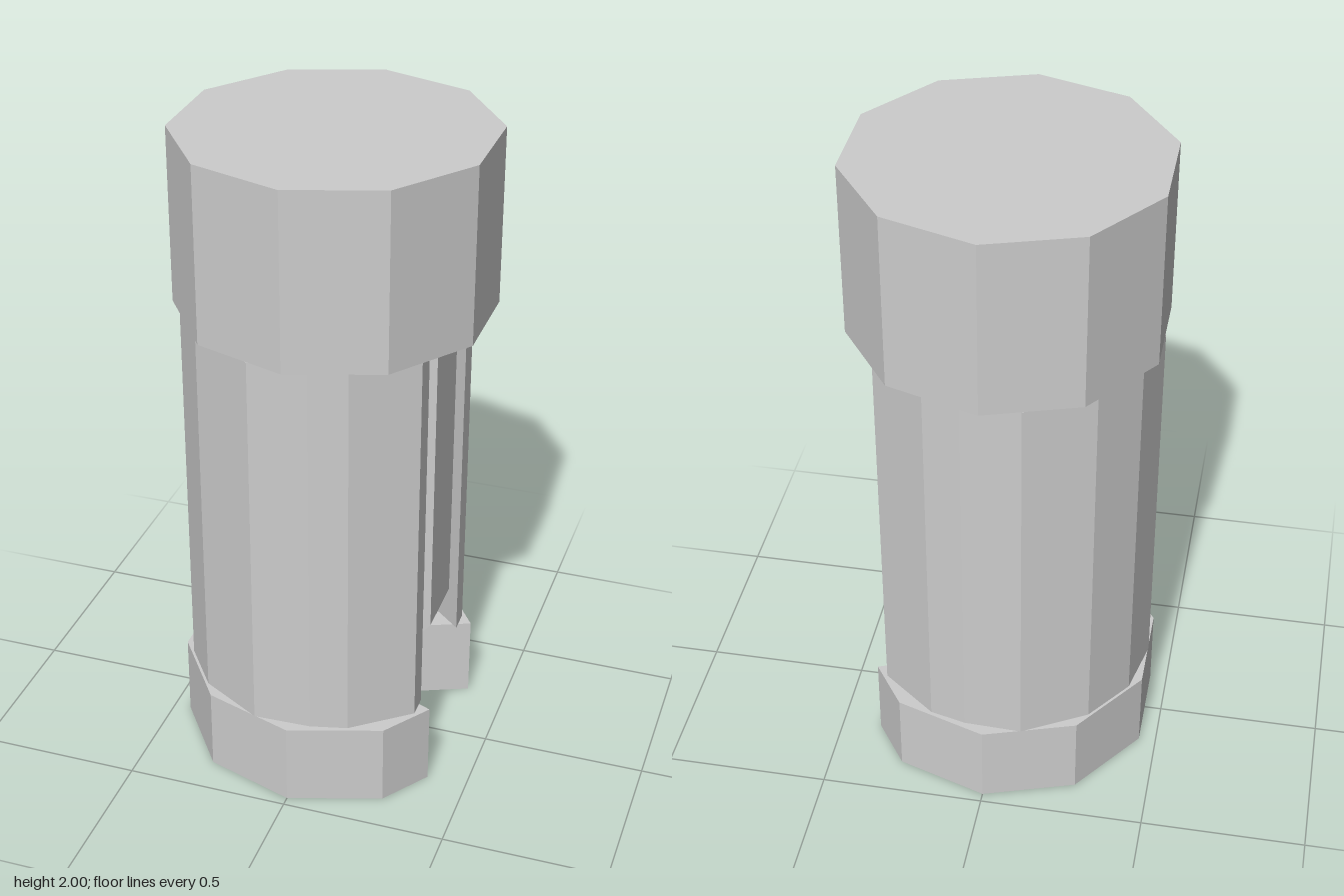
import * as THREE from 'three';

const grey = new THREE.MeshStandardMaterial({ color: 0xcccccc });
grey.name = 'plainGrey';

// Point on the ground plane; angle in degrees from the front (+z) towards +x
const polar = (deg, r) => {
  const a = THREE.MathUtils.degToRad(deg);
  return [r * Math.sin(a), r * Math.cos(a)];
};

// Upright prism from an [x, z] outline
function prism(name, outline, y0, y1) {
  const shape = new THREE.Shape(outline.map(([x, z]) => new THREE.Vector2(x, -z)));
  const geo = new THREE.ExtrudeGeometry(shape, { depth: y1 - y0, bevelEnabled: false });
  geo.rotateX(-Math.PI / 2).translate(0, y0, 0);
  const mesh = new THREE.Mesh(geo, grey);
  mesh.name = name;
  return mesh;
}

export function createModel() {
  const model = new THREE.Group();
  model.name = 'canister';

  // Ten-sided cap
  const decagon = [];
  for (let i = 0; i < 10; i++) decagon.push(polar(i * 36, 0.47));
  model.add(prism('cap', decagon, 1.465, 2));

  // Ten-sided base with a tapered notch on its left side
  const base = [];
  decagon.forEach((p, i) => {
    if (i === 2) base.push([0.378, 0.237], [0.165, 0.147], [0.165, -0.147], [0.378, -0.237]);
    else if (i !== 3) base.push(p);
  });
  model.add(prism('base', base, 0, 0.26));

  // Hollow faceted body, mirrored front to back, open on its left side
  const half = [[23, 0.437], [8, 0.434], [-14.5, 0.45], [-43, 0.447], [-66, 0.449]];
  const ring = (k, endZ) => {
    const front = [[0.34, endZ], ...half.map(([a, r]) => polar(a, r * k))];
    const back = front.map(([x, z]) => [x, -z]).reverse();
    return [...front, [-0.449 * k, 0], ...back];
  };
  model.add(prism('bodyShell', [...ring(1, 0.27), ...ring(0.9, 0.2).reverse()], 0.26, 1.465));

  // Inner chute: upright front plate, slanted floor and short rear plate
  const profile = [
    [0.337, 1.43], [0.337, 0.472], [0.165, 0.26], [0.14, 0.26], [0.14, 0.62],
    [0.165, 0.62], [0.165, 0.30], [0.31, 0.48], [0.31, 1.43],
  ];
  const chuteShape = new THREE.Shape(profile.map(([x, y]) => new THREE.Vector2(x, y)));
  const chute = new THREE.Mesh(
    new THREE.ExtrudeGeometry(chuteShape, { depth: 0.206, bevelEnabled: false }).translate(0, 0, -0.103), grey);
  chute.name = 'chute';
  model.add(chute);

  return model;
}
